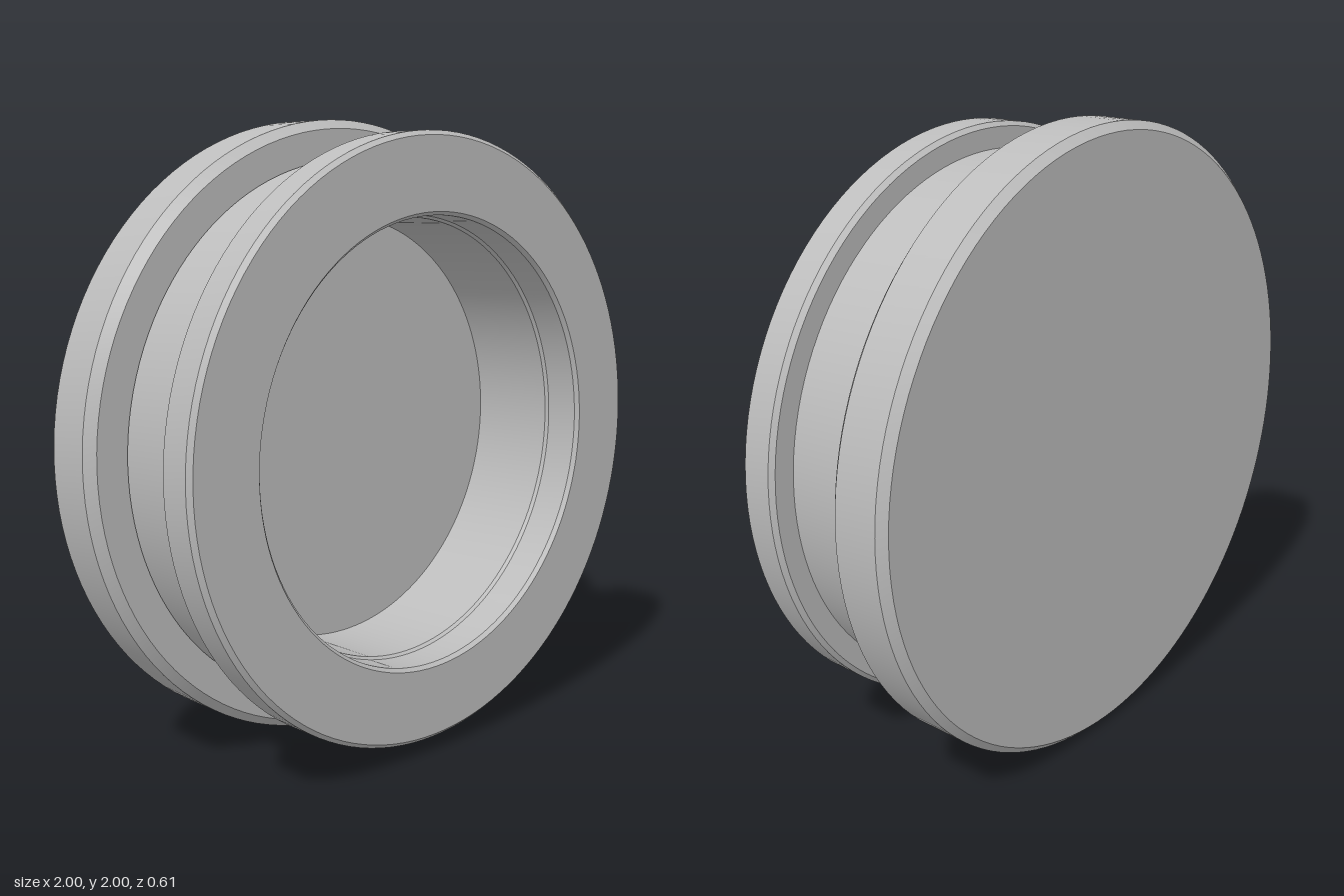
import * as THREE from 'three';
import { toCreasedNormals } from 'three/addons/utils/BufferGeometryUtils.js';

const metal = new THREE.MeshStandardMaterial({ color: 0xbcbcbc });
metal.name = 'plain grey';

// Turns a list of [radius, z] points around the z axis, keeping edges crisp.
function turned(name, profile) {
  const points = profile.map(([r, z]) => new THREE.Vector2(r, z));
  const lathe = new THREE.LatheGeometry(points, 128);
  lathe.rotateX(Math.PI / 2);
  const mesh = new THREE.Mesh(toCreasedNormals(lathe, 0.4), metal);
  mesh.name = name;
  return mesh;
}

export function createModel() {
  const model = new THREE.Group();
  model.name = 'flangedCap';

  // Wide closed disc at the back, chamfered on both rims
  model.add(turned('backDisc', [
    [0, -0.305], [0.975, -0.305], [1, -0.28], [1, -0.13], [0.972, -0.1], [0.86, -0.1],
  ]));

  // Recessed neck between the two rims
  model.add(turned('neck', [
    [0.867, -0.1], [0.874, -0.092], [0.874, 0.18],
  ]));

  // Narrower front rim with chamfers and a flat annular face
  model.add(turned('frontRim', [
    [0.874, 0.178], [0.941, 0.178], [0.955, 0.192], [0.955, 0.291], [0.941, 0.305], [0.715, 0.305],
  ]));

  // Bore: chamfered mouth, slight step, straight wall and flat floor
  model.add(turned('bore', [
    [0.715, 0.305], [0.704, 0.292], [0.704, 0.18], [0.696, 0.17], [0.696, -0.13], [0, -0.13],
  ]));

  model.position.y = 1;
  const root = new THREE.Group();
  root.add(model);
  return root;
}
